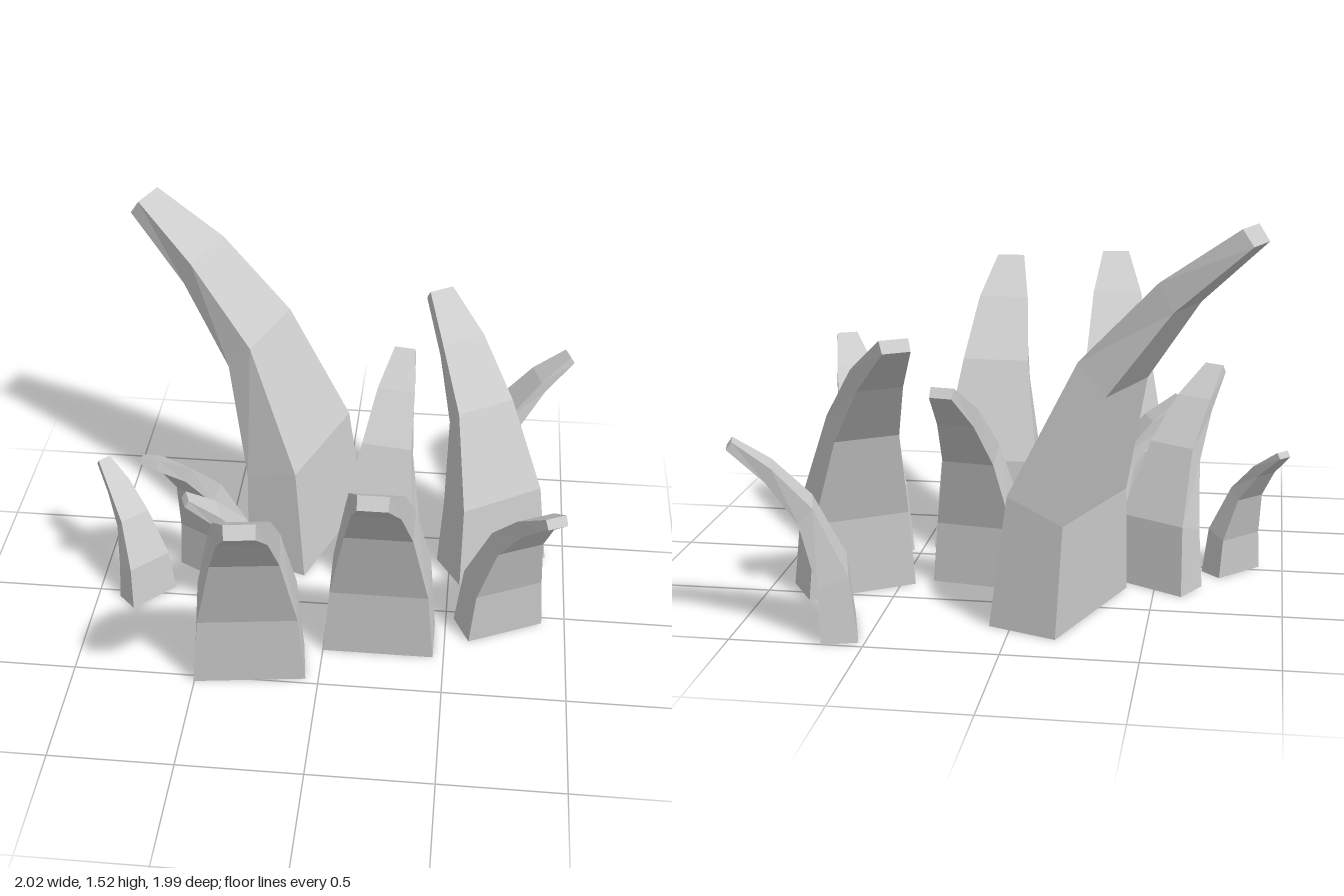
import * as THREE from 'three';

// Blade cross-sections: outward reach, height and half width of the back edge, then of the front edge
const SECTIONS = [
  { back: [0, 0, 0.228], front: [0.21, 0, 0.228] },
  { back: [0.043, 0.38, 0.2], front: [0.218, 0.32, 0.2] },
  { back: [0.23, 0.77, 0.138], front: [0.312, 0.68, 0.134] },
  { back: [0.45, 1.0, 0.105], front: [0.487, 0.92, 0.094] },
  { back: [0.66, 1.15, 0.058], front: [0.692, 1.105, 0.056] },
];

// Each blade: middle of its back edge (x, z), lean direction (x, z), scale
const BLADES = [
  [0.228, 0.085, 0, 1, 1],
  [-0.305, 0.297, 0.13, 0.99, 0.995],
  [0.18, -0.171, 0.153, -0.988, 0.775],
  [0.735, -0.295, -0.53, -0.85, 0.957],
  [-0.025, -0.46, -0.935, -0.35, 1.322],
  [-0.755, 0.032, -0.707, -0.707, 0.487],
  [-0.468, -0.267, -0.494, 0.87, 0.715],
  [-0.19, 0.056, -0.94, 0.34, 0.587],
  [0.685, -0.03, 0.43, 0.9, 0.738],
  [0.564, -0.823, 0.96, -0.275, 0.645],
];

// Curved, tapering four-sided blade lofted through the sections
function bladeGeometry() {
  const positions = [];
  const index = [];
  for (const { back, front } of SECTIONS) {
    const [bz, by, bw] = back;
    const [fz, fy, fw] = front;
    positions.push(-bw, by, bz, bw, by, bz, fw, fy, fz, -fw, fy, fz);
  }
  const last = (SECTIONS.length - 1) * 4;
  for (let r = 0; r < last; r += 4) {
    for (let k = 0; k < 4; k++) {
      const i = r + k;
      const j = r + ((k + 1) % 4);
      index.push(j, i, i + 4, j, i + 4, j + 4);
    }
  }
  // Base and tip caps
  index.push(0, 1, 2, 0, 2, 3);
  index.push(last, last + 3, last + 2, last, last + 2, last + 1);
  const indexed = new THREE.BufferGeometry();
  indexed.setAttribute('position', new THREE.Float32BufferAttribute(positions, 3));
  indexed.setIndex(index);
  const geometry = indexed.toNonIndexed();
  geometry.computeVertexNormals();
  return geometry;
}

export function createModel() {
  const group = new THREE.Group();
  group.name = 'grassTuft';
  const geometry = bladeGeometry();
  const material = new THREE.MeshStandardMaterial({ color: 0xcccccc, flatShading: true });
  BLADES.forEach(([x, z, dx, dz, scale], n) => {
    const blade = new THREE.Mesh(geometry, material);
    blade.name = `grassBlade${n + 1}`;
    blade.position.set(x, 0, z);
    blade.rotation.y = Math.atan2(dx, dz);
    blade.scale.setScalar(scale);
    group.add(blade);
  });
  return group;
}
